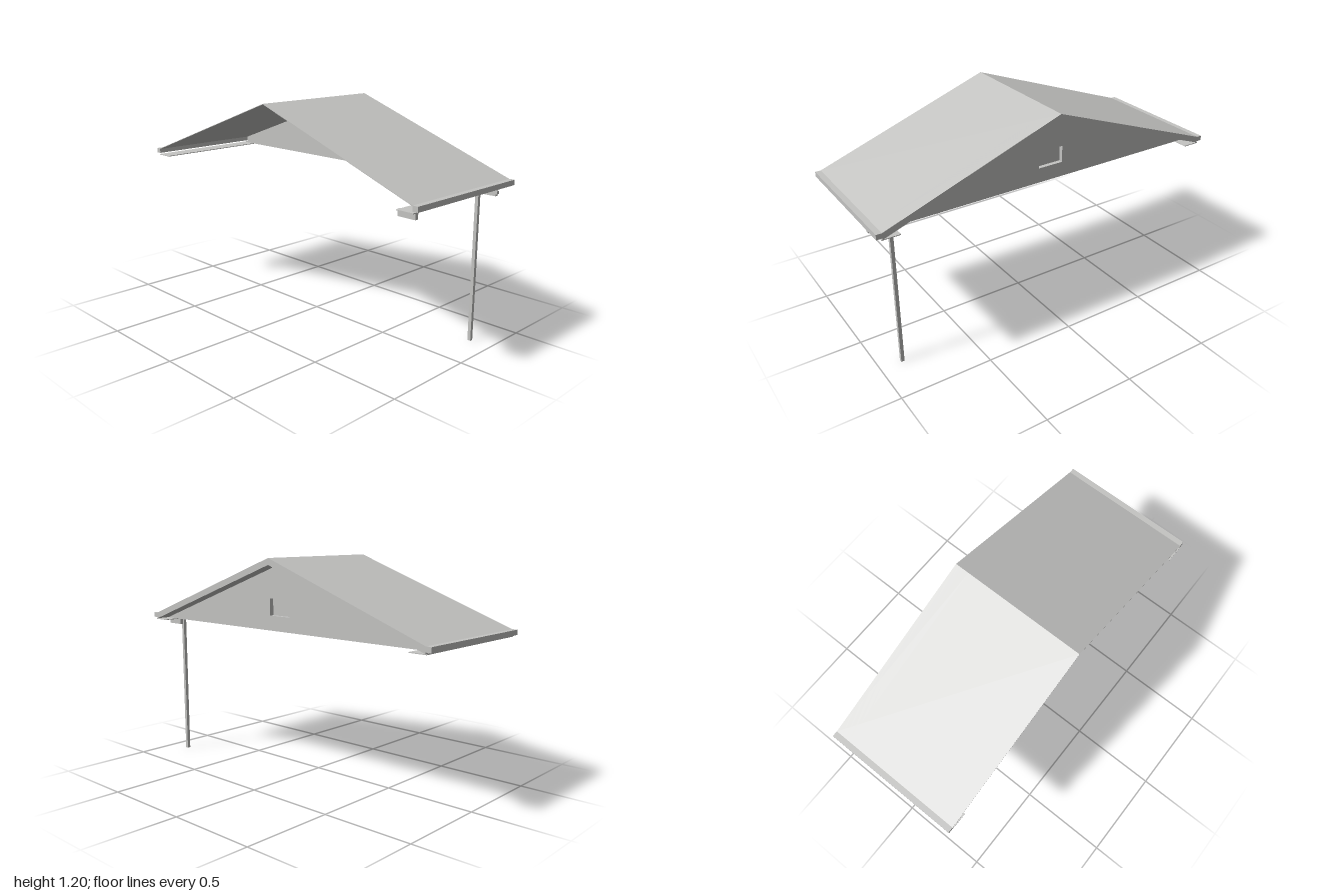
import * as THREE from 'three';

export function createModel() {
  const model = new THREE.Group();
  model.name = 'gableRoof';
  const grey = new THREE.MeshStandardMaterial({ color: 0xc4c4c2, side: THREE.DoubleSide });
  grey.name = 'pale grey';

  const HALF = 0.38;               // half the roof width in x
  const EAVE = 0.97;               // z where the slopes end
  const RIDGE = 1.2, FOOT = 0.85;  // heights of the top surface
  const THICK = 0.035;             // vertical depth of the rake boards
  const WALL = 0.30;               // outer face of the gable wall

  function add(name, geometry, x = 0, y = 0, z = 0) {
    const mesh = new THREE.Mesh(geometry, grey);
    mesh.name = name;
    mesh.position.set(x, y, z);
    model.add(mesh);
    return mesh;
  }

  // Box given by its limits on each axis
  function box(name, x0, x1, y0, y1, z0, z1) {
    return add(name, new THREE.BoxGeometry(x1 - x0, y1 - y0, z1 - z0),
      (x0 + x1) / 2, (y0 + y1) / 2, (z0 + z1) / 2);
  }

  // Shape drawn in (z, y) and extruded along x from x0 to x1
  function alongX(name, shape, x0, x1) {
    const geometry = new THREE.ExtrudeGeometry(shape, { depth: x1 - x0, bevelEnabled: false });
    geometry.rotateY(-Math.PI / 2);   // shape x -> z, depth -> -x
    return add(name, geometry, x1);
  }

  const outline = (points) => new THREE.Shape(points.map(([z, y]) => new THREE.Vector2(z, y)));

  // Thin roof sheets, gutters and soffits on both sides
  for (const s of [1, -1]) {
    const side = s > 0 ? 'front' : 'back';
    const sheet = outline([
      [0, RIDGE], [s * EAVE, FOOT], [s * EAVE, FOOT - 0.003], [0, RIDGE - 0.003],
    ]);
    alongX(side + 'RoofSlope', sheet, -HALF, HALF);
    const z = [s * EAVE, s].sort((a, b) => a - b);
    box(side + 'Fascia', -HALF, HALF, 0.823, FOOT, z[0], z[1]);
    const w = [s * 0.88, s * 0.975].sort((a, b) => a - b);
    box(side + 'Soffit', -HALF, HALF, 0.812, 0.816, w[0], w[1]);
  }

  // Overhanging rake boards above the gable
  alongX('rakeBoards', outline([
    [-EAVE, FOOT], [0, RIDGE], [EAVE, FOOT],
    [EAVE, FOOT - THICK], [0, RIDGE - THICK], [-EAVE, FOOT - THICK],
  ]), WALL, HALF);

  // Gable wall with a recessed vent opening
  const gable = outline([[-EAVE, 0.815], [EAVE, 0.815], [0, RIDGE - THICK]]);
  gable.holes.push(new THREE.Path([
    [-0.072, 0.895], [-0.072, 0.985], [0.072, 0.985], [0.072, 0.895],
  ].map(([z, y]) => new THREE.Vector2(z, y))));
  alongX('gableWall', gable, WALL - 0.025, WALL);
  box('ventPanel', WALL - 0.029, WALL - 0.023, 0.89, 0.99, -0.077, 0.077);

  // Brackets under the front eave
  for (const x of [-0.347, 0.275]) {
    box('eaveBracket', x - 0.009, x + 0.009, 0.78, 0.814, 0.87, 0.97);
  }

  // Slim post and the short spout joining it to the eave
  box('post', 0.243, 0.261, 0, 0.797, 0.869, 0.887);
  box('postArm', 0.243, 0.261, 0.797, 0.812, 0.869, 0.99);

  return model;
}
